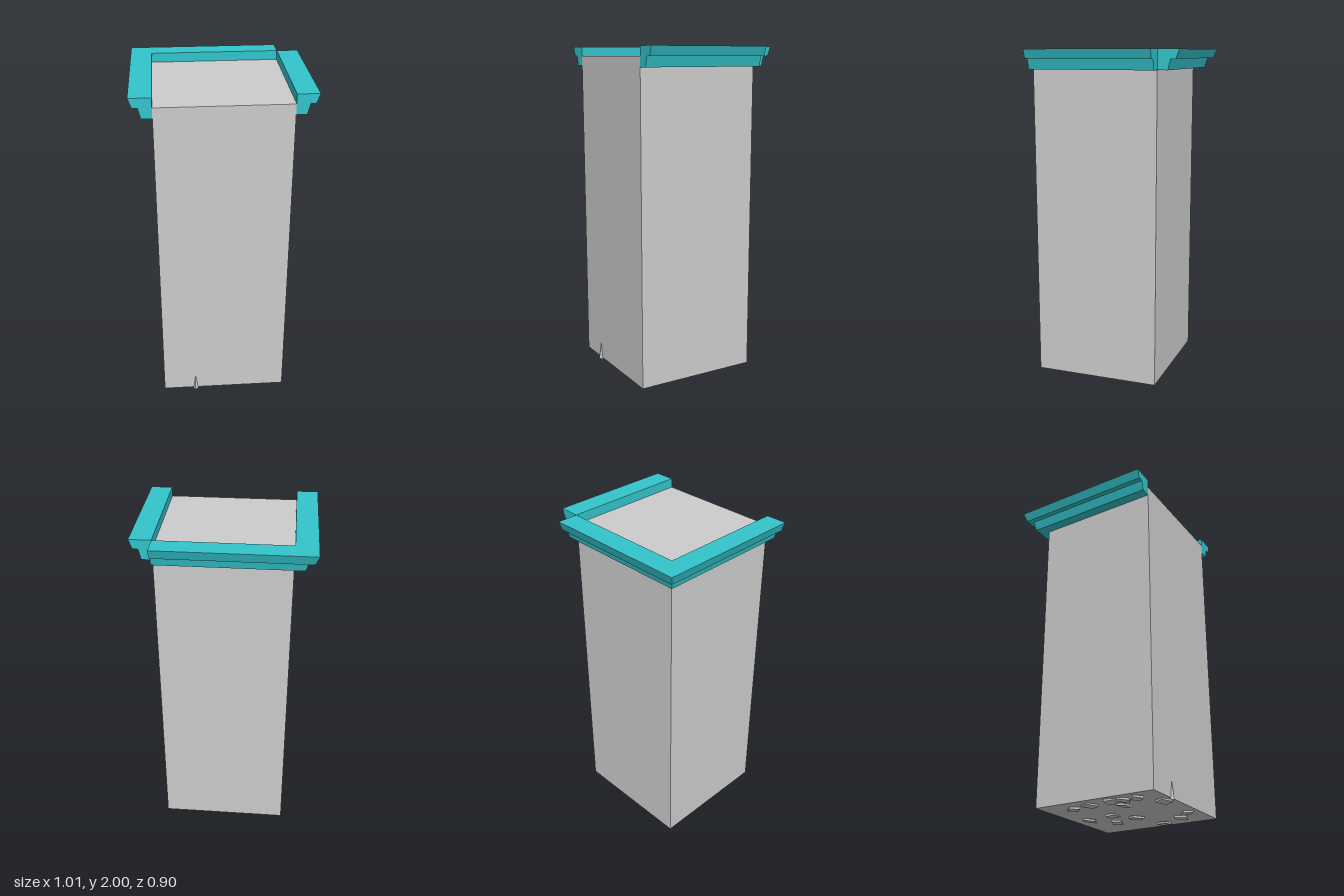
import * as THREE from 'three';
import { ConvexGeometry } from 'three/addons/geometries/ConvexGeometry.js';

const stone = new THREE.MeshStandardMaterial({ color: 0xcccccc, flatShading: true });
const trim = new THREE.MeshStandardMaterial({ color: 0x33c4cb, flatShading: true });

// Stepped cornice section: [distance out from the wall, height]
const PROFILE = [[0, 1.885], [0.06, 1.885], [0.075, 1.945], [0.105, 1.945], [0.125, 2], [0, 2]];

// Sweeps the section along stations [x, z, outX, outZ]; a diagonal "out" makes a mitre
function moulding(name, stations) {
  const n = PROFILE.length, pos = [], index = [];
  for (const [x, z, ox, oz] of stations)
    for (const [o, y] of PROFILE) pos.push(x + ox * o, y, z + oz * o);
  for (let i = 0; i < stations.length - 1; i++)
    for (let j = 0; j < n; j++) {
      const k = (j + 1) % n;
      const a = i * n + j, b = a + n, d = i * n + k, c = d + n;
      index.push(a, d, c, a, c, b);
    }
  // end caps
  const last = (stations.length - 1) * n;
  const section = PROFILE.map(([o, y]) => new THREE.Vector2(o, y));
  for (const [a, b, c] of THREE.ShapeUtils.triangulateShape(section, []))
    index.push(a, c, b, last + a, last + b, last + c);
  const indexed = new THREE.BufferGeometry();
  indexed.setAttribute('position', new THREE.Float32BufferAttribute(pos, 3));
  indexed.setIndex(index);
  const geo = indexed.toNonIndexed();
  geo.computeVertexNormals();
  const mesh = new THREE.Mesh(geo, trim);
  mesh.name = name;
  return mesh;
}

export function createModel() {
  const group = new THREE.Group();
  group.name = 'pillar';
  const W = 0.379, BACK = -0.324, FRONT = 0.433;

  // Square shaft
  const shaft = new THREE.Mesh(new THREE.BoxGeometry(2 * W, 1.92, FRONT - BACK), stone);
  shaft.position.set(0, 0.985, (FRONT + BACK) / 2);
  shaft.name = 'shaft';
  group.add(shaft);

  // Cornice: mitred along one side and the back, separate along the other side
  group.add(moulding('sideAndBackCornice', [
    [-W, FRONT, -1, 0], [-W, BACK, -1, -1], [W, BACK, 0, -1],
  ]));
  group.add(moulding('sideCornice', [[W, BACK, 1, 0], [W, FRONT, 1, 0]]));

  // Thin, slightly tilted stone chips under the base: [x, z]
  const chips = new THREE.Group();
  chips.name = 'baseChips';
  const spots = [
    [0.29, 0.13], [0.22, 0.28], [0.14, 0.36], [0.08, 0.06], [0.08, -0.07], [-0.02, -0.04], [0, -0.21],
    [-0.27, -0.14], [-0.29, -0.02], [-0.21, 0.15], [-0.31, 0.13], [-0.3, 0.2], [-0.31, 0.29], [-0.17, 0.38],
  ];
  const chipGeo = new THREE.BoxGeometry(0.075, 0.012, 0.06);
  spots.forEach(([x, z], i) => {
    const chip = new THREE.Mesh(chipGeo, stone);
    chip.name = 'chip';
    chip.position.set(x, 0.017 + 0.002 * (i % 3), z);
    chip.rotation.set(0.1 * Math.sin(i * 2.3), i * 1.9, 0.1 * Math.cos(i * 1.7));
    chips.add(chip);
  });
  // one chip reaches the floor
  const low = chips.children[4];
  low.position.y = 0.006;
  low.rotation.set(0, 0.4, 0);
  group.add(chips);

  // Splinter standing against the front face
  const splinter = new THREE.Mesh(new ConvexGeometry([
    new THREE.Vector3(-0.195, 0.015, 0.43), new THREE.Vector3(-0.16, 0.015, 0.43),
    new THREE.Vector3(-0.182, 0.015, 0.449), new THREE.Vector3(-0.18, 0.12, 0.434),
  ]), stone);
  splinter.name = 'frontSplinter';
  group.add(splinter);

  return group;
}
